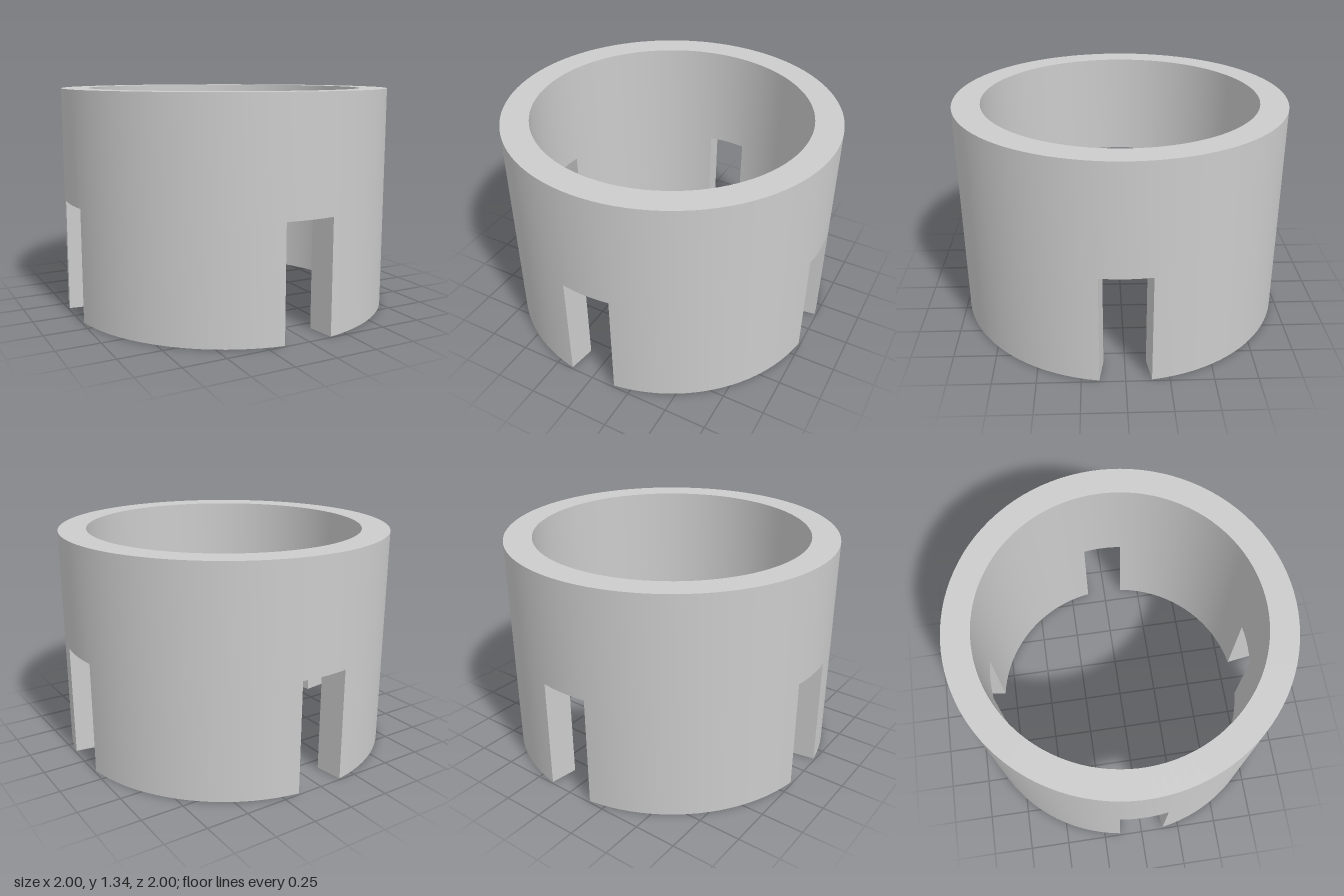
import * as THREE from 'three';
import { mergeGeometries, toCreasedNormals } from 'three/addons/utils/BufferGeometryUtils.js';

const OUTER = 1, INNER = 0.834, HEIGHT = 1.335, SLOT_TOP = 0.67;
const SLOT_HALF = 0.1485; // half the slot's angle, in radians
const QUARTER = Math.PI / 2;

// Wall section swept around the axis from angle start over angle sweep
function sector(points, segments, start, sweep) {
  const profile = points.map(([r, y]) => new THREE.Vector2(r, y));
  return new THREE.LatheGeometry(profile, segments, start, sweep);
}

// Radial side wall of a slot; side is +1 or -1 from the slot centre
function slotCheek(centre, side) {
  const cheek = new THREE.PlaneGeometry(OUTER - INNER, SLOT_TOP);
  if (side < 0) cheek.rotateY(Math.PI);
  cheek.translate((OUTER + INNER) / 2, SLOT_TOP / 2, 0);
  return cheek.rotateY(centre + side * SLOT_HALF - Math.PI / 2);
}

export function createModel() {
  const group = new THREE.Group();
  group.name = 'slottedCollar';

  const legSection = [
    [OUTER, 0], [OUTER, SLOT_TOP], [OUTER, HEIGHT],
    [INNER, HEIGHT], [INNER, SLOT_TOP], [INNER, 0], [OUTER, 0],
  ];
  const bridgeSection = [
    [OUTER, SLOT_TOP], [OUTER, HEIGHT], [INNER, HEIGHT], [INNER, SLOT_TOP], [OUTER, SLOT_TOP],
  ];

  // Each quarter: the wall above a slot, the slot's cheeks, and the full-height leg beside it
  const parts = [];
  for (let i = 0; i < 4; i++) {
    const centre = i * QUARTER;
    parts.push(
      sector(bridgeSection, 5, centre - SLOT_HALF, 2 * SLOT_HALF),
      sector(legSection, 20, centre + SLOT_HALF, QUARTER - 2 * SLOT_HALF),
      slotCheek(centre, 1),
      slotCheek(centre, -1),
    );
  }

  const collar = new THREE.Mesh(
    toCreasedNormals(mergeGeometries(parts), Math.PI / 6),
    new THREE.MeshStandardMaterial({ color: 0xcccccc }),
  );
  collar.name = 'collarWall';
  group.add(collar);
  return group;
}
